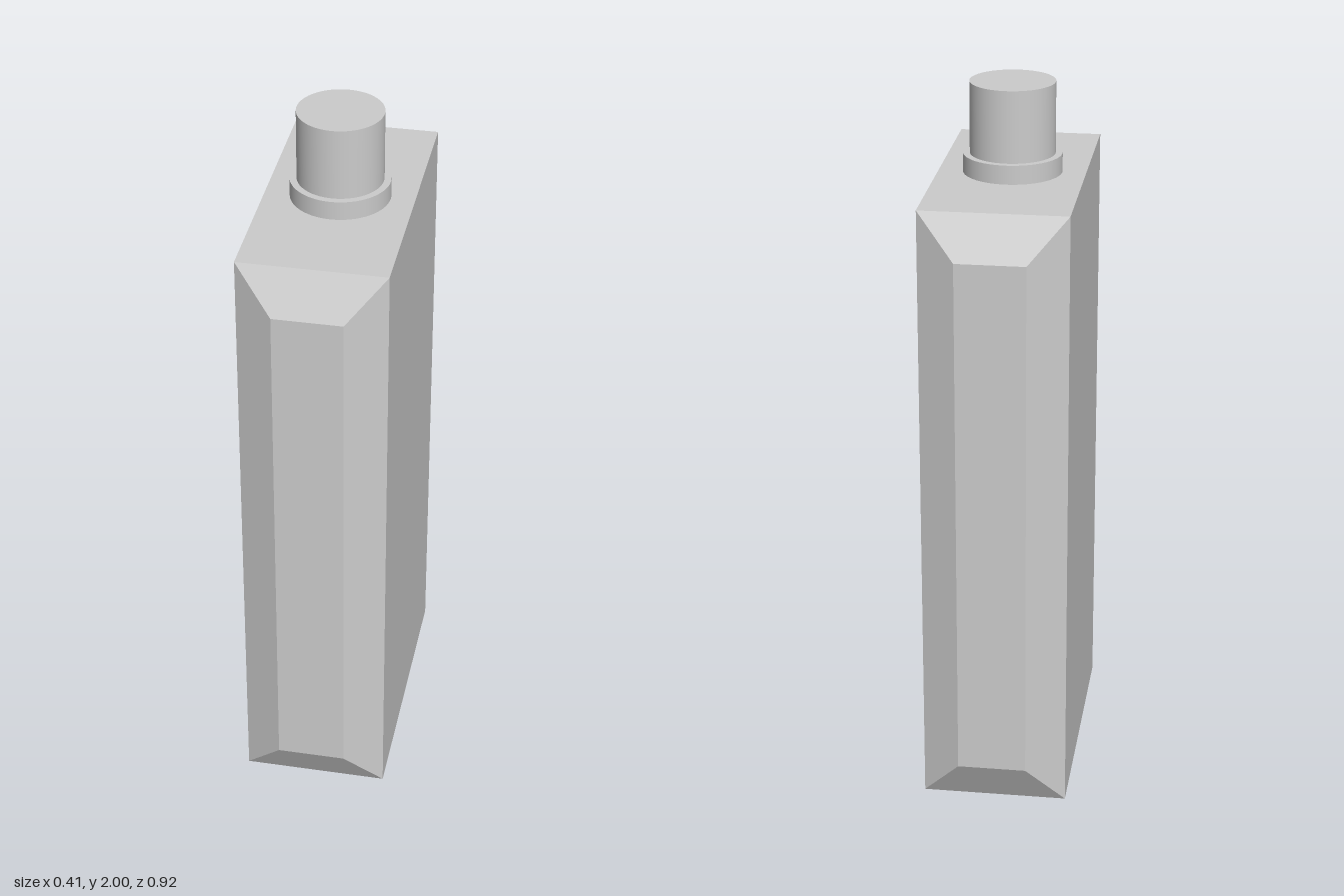
import * as THREE from 'three';

const material = new THREE.MeshStandardMaterial({ color: 0xcccccc });

// Slab whose front and back ends taper to a smaller panel
function taperedSlab() {
  const bottom = 0, top = 1.747;
  const box = new THREE.BoxGeometry(1, 1, 1, 1, 1, 3);
  const p = box.attributes.position;
  for (let i = 0; i < p.count; i++) {
    const end = Math.abs(p.getZ(i)) > 0.3;
    const inset = end ? 0.121 : 0;
    p.setXYZ(
      i,
      Math.sign(p.getX(i)) * (end ? 0.096 : 0.203),
      p.getY(i) > 0 ? top - inset : bottom + inset,
      Math.sign(p.getZ(i)) * (end ? 0.458 : 0.395)
    );
  }
  const flat = box.toNonIndexed();
  flat.computeVertexNormals();
  return flat;
}

function addPart(group, name, geometry, y = 0) {
  const mesh = new THREE.Mesh(geometry, material);
  mesh.name = name;
  mesh.position.y = y;
  group.add(mesh);
}

// Upright cylinder between two heights
function addCylinder(group, name, radius, y0, y1) {
  addPart(group, name, new THREE.CylinderGeometry(radius, radius, y1 - y0, 64), (y0 + y1) / 2);
}

export function createModel() {
  const group = new THREE.Group();
  group.name = 'bottle';
  addPart(group, 'body', taperedSlab());
  addCylinder(group, 'collar', 0.137, 1.747, 1.8);
  addCylinder(group, 'cap', 0.118, 1.79, 2);
  return group;
}
